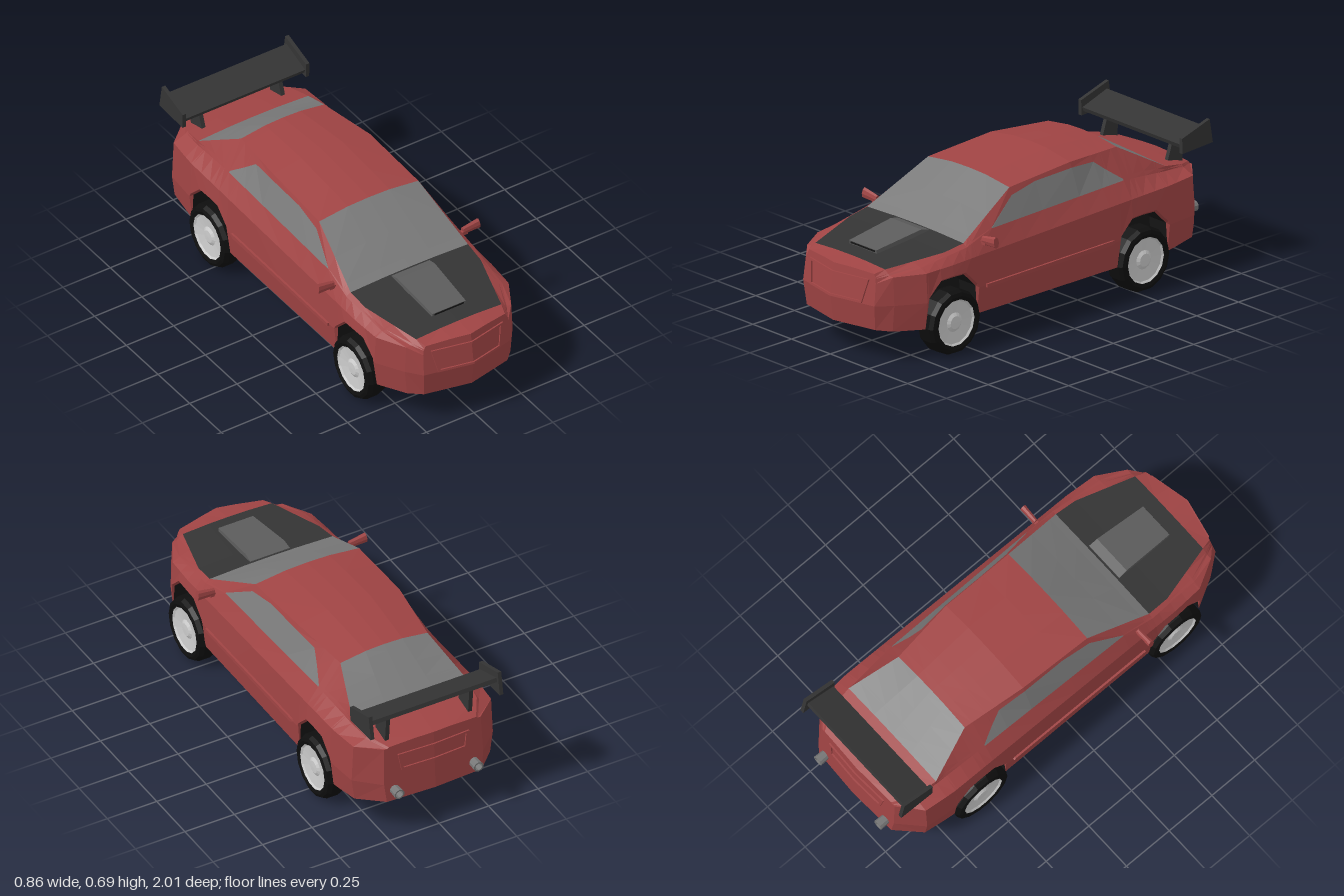
import * as THREE from 'three';

const mat = (color) => new THREE.MeshStandardMaterial({ color, flatShading: true, side: THREE.DoubleSide });
const PAINT = mat(0xa04444), GLASS = mat(0x7a7a7a), CARBON = mat(0x343434), UNDER = mat(0x151515),
  TYRE = mat(0x0e0e0e), RIM = mat(0xcccccc), SCOOP = mat(0x5c5c5c), METAL = mat(0x777777);

// Body half-width, as [z, x] from nose to tail
const WIDTH = [[.95, .23], [.88, .285], [.75, .36], [.6, .37], [-.7, .372], [-.85, .357], [-.95, .25]];
// Belt line and roof rail, as [z, x, y]
const BELT = [[.95, .22, .4], [.75, .315, .43], [.49, .333, .465], [.33, .322, .51], [-.47, .31, .525], [-.88, .285, .48], [-.95, .23, .463]];
const RAIL = [[.95, .21, .42], [.88, .225, .432], [.6, .305, .462], [.49, .31, .478], [.17, .262, .645],
  [-.2, .256, .667], [-.51, .22, .648], [-.74, .29, .517], [-.88, .272, .488], [-.95, .22, .47]];
// How far the side window reaches from belt to rail, as [z, fraction]
const WINDOW = [[.49, .3], [.33, .05], [.17, .75], [.02, .88], [-.34, .8], [-.47, .05], [-.74, .4]];
// Half of a wheel arch, as [distance from its centre, y]
const ARCH = [[.15, .15], [.14, .285], [.07, .355], [0, .358]];
const ARCH_CENTRES = [.6, -.54];

const archStations = ARCH_CENTRES.flatMap((c) => ARCH.flatMap(([d]) => [c + d, c - d]));
const rounded = [.95, .88, .49, .33, .17, .02, -.2, -.34, -.51, -.74, -.85, -.95, ...archStations].map((z) => Math.round(z * 100) / 100);
const STATIONS = [...new Set(rounded)].sort((a, b) => b - a);

// Surfaces of the pointed nose and the nearly flat tail
const noseZ = (x, y) => .95 - .15 * Math.abs(y - .27) + .05 * Math.max(0, 1 - x / .23);
const tailZ = (x, y) => -.95 + .06 * (y - .3) - .012 * Math.max(0, 1 - x / .25);
const sillY = (z) => .15 + .1 * Math.max(0, z - .85) + .14 * Math.max(0, -z - .7);
const mix = THREE.MathUtils.lerp;

// Interpolates a table whose first column falls
function along(table, z) {
  let k = 0;
  while (k < table.length - 2 && z < table[k + 1][0]) k++;
  const [a, b] = [table[k], table[k + 1]];
  const t = THREE.MathUtils.clamp((a[0] - z) / (a[0] - b[0]), 0, 1);
  return a.slice(1).map((v, i) => mix(v, b[i + 1], t));
}

function archHeight(z) {
  const d = Math.min(...ARCH_CENTRES.map((c) => Math.abs(z - c)));
  return d < .1501 ? along(ARCH, d)[0] : 0;
}

// Half cross-section from sill to roof centre
function section(z, i) {
  const [w] = along(WIDTH, z), [bx, by] = along(BELT, z), [rx, ry] = along(RAIL, z), [f] = along(WINDOW, z);
  const arch = archHeight(z);
  const top = ry + .008 + .02 * Math.max(0, 1 - ((z + .17) / .6) ** 2);
  const points = [
    [w * .96, Math.max(sillY(z), arch)],
    [w, Math.max(.277, arch + .012)],
    [w * .975, .435 - .03 * z - .4 * Math.max(0, z - .88)],
    [bx, by],
    [mix(bx, rx, f), mix(by, ry, f)],
    [rx, ry],
    [rx * .42, mix(ry, top, .85)],
    [0, top],
  ];
  return points.map(([x, y]) => [x, y, i === 0 ? noseZ(x, y) : i === STATIONS.length - 1 ? tailZ(x, y) : z]);
}

// Collects quads with their mirror images
class Panels {
  constructor() { this.parts = new Map(); }
  quad(name, material, a, b, c, d) {
    if (!this.parts.has(name)) this.parts.set(name, { material, pos: [] });
    const m = ([x, y, z]) => [-x, y, z];
    for (const p of [a, b, c, a, c, d, m(a), m(c), m(b), m(a), m(d), m(c)]) this.parts.get(name).pos.push(...p);
  }
  addTo(group) {
    for (const [name, { material, pos }] of this.parts) {
      const g = new THREE.BufferGeometry();
      g.setAttribute('position', new THREE.Float32BufferAttribute(pos, 3));
      g.computeVertexNormals();
      add(group, name, g, material);
    }
  }
}

function add(parent, name, geometry, material, x = 0, y = 0, z = 0) {
  const mesh = new THREE.Mesh(geometry, material);
  mesh.name = name;
  mesh.position.set(x, y, z);
  parent.add(mesh);
  return mesh;
}

// Side outline of [z, y] points, extruded across x and centred on x = 0
function sideExtrude(points, width) {
  const shape = new THREE.Shape(points.map(([z, y]) => new THREE.Vector2(-z, y)));
  return new THREE.ExtrudeGeometry(shape, { depth: width, bevelEnabled: false })
    .translate(0, 0, -width / 2).rotateY(Math.PI / 2);
}

function buildBody(car) {
  const panels = new Panels(), end = STATIONS.length - 1;
  const rows = STATIONS.map(section);
  const within = (i, a, b) => STATIONS[i] <= a && STATIONS[i + 1] >= b;
  // Underside from centre to sill, stepping up into the wheel wells
  const floors = rows.map((row, i) => {
    const [x, y, z] = row[0], base = sillY(STATIONS[i]), inner = Math.min(.25, x - .02);
    const centreZ = i === 0 ? noseZ(0, base) : i === end ? tailZ(0, base) : z;
    return [[0, base, centreZ], [inner, base, z], [inner, y, z], [x, y, z]];
  });
  for (let i = 0; i < end; i++) {
    const [p, q, u, v] = [rows[i], rows[i + 1], floors[i], floors[i + 1]];
    for (let j = 0; j < 7; j++) {
      let name = 'bodyShell', m = PAINT;
      if (j >= 5 && within(i, .88, .49)) [name, m] = ['hood', CARBON];
      if (j >= 5 && within(i, .49, .17)) [name, m] = ['windshield', GLASS];
      if (j >= 5 && within(i, -.51, -.74)) [name, m] = ['rearWindow', GLASS];
      if (j === 3 && within(i, .33, -.47)) [name, m] = ['sideWindows', GLASS];
      panels.quad(name, m, p[j], q[j], q[j + 1], p[j + 1]);
    }
    for (let j = 0; j < 3; j++) panels.quad('underbody', UNDER, u[j], v[j], v[j + 1], u[j + 1]);
  }
  // End caps
  for (let j = 0; j < 7; j++) {
    const [a, b] = [rows[0][j], rows[0][j + 1]], [c, d] = [rows[end][j], rows[end][j + 1]];
    const nose = ([, y]) => [0, y, noseZ(0, y)], tail = ([, y]) => [0, y, tailZ(0, y)];
    panels.quad('nosePanel', PAINT, nose(a), a, b, nose(b));
    panels.quad('tailPanel', PAINT, c, tail(c), tail(d), d);
  }
  panels.addTo(car);
}

// Half of a raised trapezoid frame, bent to follow the panel behind it
function frameHalf(top, bottom, wTop, wBottom, zAt) {
  const t = .01;
  const pts = [[0, top], [wTop, top], [wBottom, bottom], [0, bottom], [0, bottom + t], [wBottom - t, bottom + t], [wTop - 1.6 * t, top - t], [0, top - t]];
  const g = new THREE.ExtrudeGeometry(new THREE.Shape(pts.map((p) => new THREE.Vector2(...p))), { depth: .014, bevelEnabled: false });
  const a = g.attributes.position;
  for (let i = 0; i < a.count; i++) a.setZ(i, a.getZ(i) - .007 + zAt(a.getX(i), a.getY(i)));
  g.computeVertexNormals();
  return g;
}

const lathe = (pts, sides) => new THREE.LatheGeometry(pts.map((p) => new THREE.Vector2(...p)), sides);

function buildWheel() {
  const wheel = new THREE.Group();
  const tyre = lathe([[0, -.05], [.125, -.056], [.143, -.045], [.15, -.025], [.15, .03], [.14, .05], [.125, .056], [.108, .05]], 14);
  const rim = lathe([[.112, .051], [.1, .042], [.045, .036], [.03, .045], [0, .046]], 14);
  add(wheel, 'tyre', tyre.rotateZ(-Math.PI / 2), TYRE);
  add(wheel, 'rim', rim.rotateZ(-Math.PI / 2), RIM);
  return wheel;
}

export function createModel() {
  const car = new THREE.Group();
  car.name = 'car';
  buildBody(car);

  // Hood scoop, narrowing towards the front
  const scoop = sideExtrude([[.8, .44], [.805, .464], [.545, .498], [.5, .487], [.5, .45]], .2);
  const sp = scoop.attributes.position;
  for (let i = 0; i < sp.count; i++) sp.setX(i, sp.getX(i) * (1 - .4 * (sp.getZ(i) - .5)));
  scoop.computeVertexNormals();
  add(car, 'hoodScoop', scoop, SCOOP);
  add(car, 'scoopIntake', new THREE.BoxGeometry(.155, .008, .006), UNDER, 0, .457, .803);

  // Parts repeated on both sides
  for (const s of [1, -1]) {
    const half = new THREE.Group();
    half.name = s > 0 ? 'leftParts' : 'rightParts';
    half.scale.x = s;
    car.add(half);

    for (const [name, z] of [['frontWheel', .595], ['rearWheel', -.54]]) {
      const wheel = buildWheel();
      wheel.name = name;
      wheel.position.set(.329, .15, z);
      half.add(wheel);
    }
    add(half, 'sideMoulding', sideExtrude([[.41, .268], [.41, .284], [-.35, .292], [-.36, .284], [-.34, .272]], .02), PAINT, .37);

    // Door mirror, taller towards its outer end
    const mirror = new THREE.CylinderGeometry(.026, .019, .085, 8).scale(1, 1, .6).rotateZ(-Math.PI / 2);
    add(half, 'doorMirror', mirror, PAINT, .384, .484, .4).rotation.z = .1;
    add(half, 'mirrorStem', new THREE.BoxGeometry(.06, .018, .02), PAINT, .335, .47, .4);

    add(half, 'grilleFrame', frameHalf(.392, .28, .19, .165, noseZ), PAINT);
    add(half, 'plateFrame', frameHalf(.42, .335, .18, .165, tailZ), PAINT);

    const tip = lathe([[.022, 0], [.025, .07], [.018, .07], [.016, .02], [0, .02]], 10);
    add(half, 'exhaustTip', tip.rotateX(-Math.PI / 2), METAL, .2, .24, -.93);

    // Wing supports and end plates
    add(half, 'wingSupport', sideExtrude([[-.81, .475], [-.905, .475], [-.918, .625], [-.85, .595]], .02), CARBON, .21);
    add(half, 'wingEndPlate', sideExtrude([[-.798, .642], [-.963, .693], [-.982, .58], [-.8, .57]], .018), CARBON, .326);
  }
  add(car, 'wing', new THREE.BoxGeometry(.645, .02, .155), CARBON, 0, .623, -.882).rotation.x = .33;
  return car;
}
